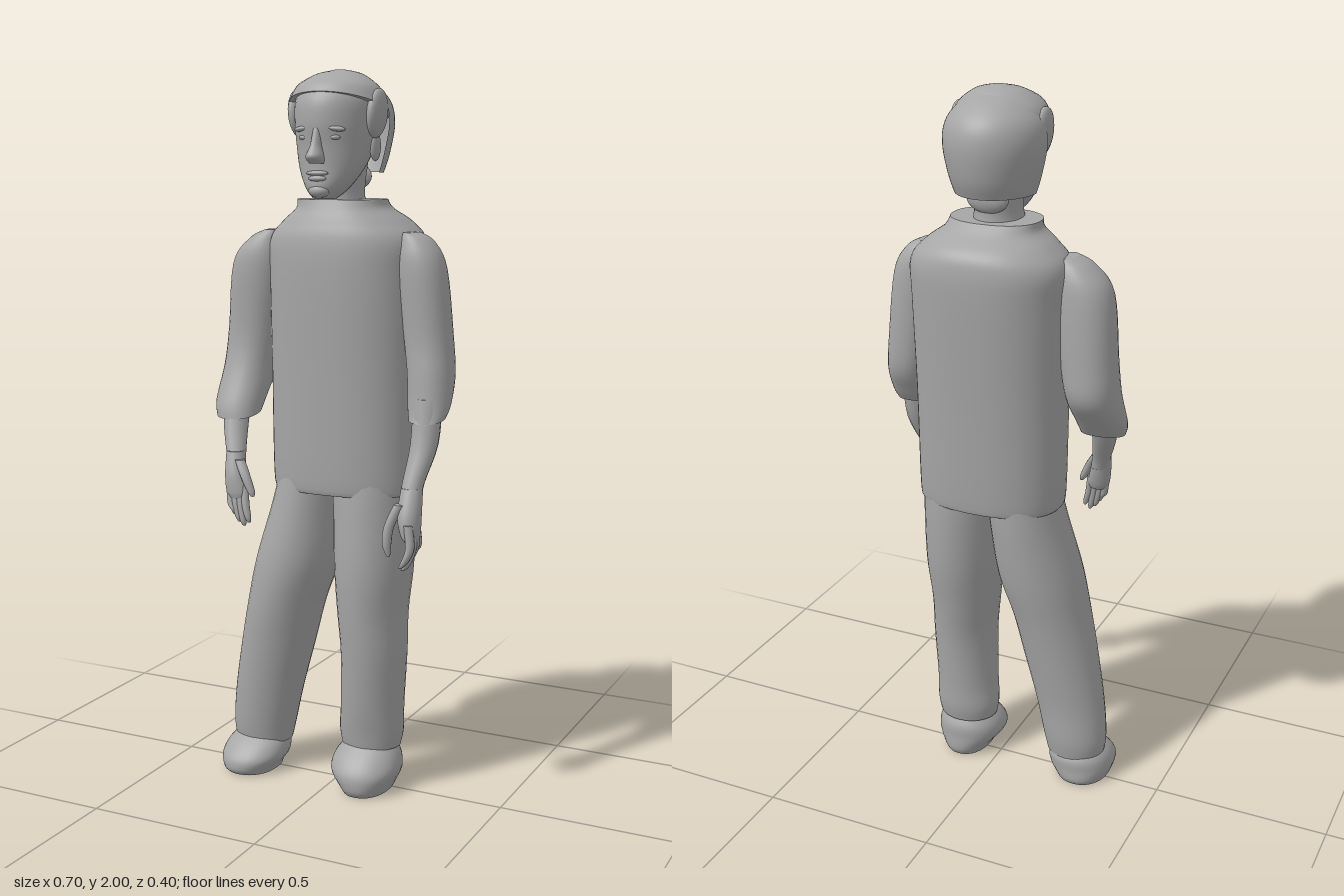
import * as THREE from 'three';

const clay = new THREE.MeshStandardMaterial({ color: 0xa6a6a6, side: THREE.DoubleSide });
clay.name = 'clay grey';

// Smooth loft through rows of [y, xMin, xMax, zBack, zFront, tilt], capped at both ends.
// power squares off the outline; half keeps only the back of each ring, uncapped.
function loft(rows, { power = 2, sides = 32, steps = 5, half = false } = {}) {
  rows = [...rows].sort((a, b) => a[0] - b[0]);
  const at = (i, k) => rows[Math.min(Math.max(i, 0), rows.length - 1)][k] ?? 0;
  const spline = (i, t, k) => {
    const [a, b, c, d] = [at(i - 1, k), at(i, k), at(i + 1, k), at(i + 2, k)];
    return b + 0.5 * t * (c - a + t * (2 * a - 5 * b + 4 * c - d + t * (3 * (b - c) + d - a)));
  };
  const pos = [], index = [], bend = v => Math.sign(v) * Math.abs(v) ** (2 / power);
  const n = half ? sides + 1 : sides, count = (rows.length - 1) * steps + 1;
  for (let r = 0; r < count; r++) {
    const i = Math.min(Math.floor(r / steps), rows.length - 2), t = r / steps - i;
    const [y, x0, x1, z0, z1, tilt] = [0, 1, 2, 3, 4, 5].map(k => spline(i, t, k));
    for (let j = 0; j < n; j++) {
      const a = half ? Math.PI * (1 + j / sides) : Math.PI * 2 * j / sides;
      const dz = bend(Math.sin(a)) * (z1 - z0) / 2;
      pos.push((x0 + x1) / 2 + bend(Math.cos(a)) * (x1 - x0) / 2, y + tilt * dz, (z0 + z1) / 2 + dz);
    }
  }
  for (let r = 0; r < count - 1; r++) for (let j = 0; j < (half ? sides : n); j++) {
    const a = r * n + j, b = r * n + (j + 1) % n;
    index.push(a, a + n, b, b, a + n, b + n);
  }
  if (!half) for (const r of [0, count - 1]) {
    const base = pos.length / 3, mid = [0, 0, 0];
    for (let j = 0; j < n; j++) for (let k = 0; k < 3; k++) {
      const v = pos[(r * n + j) * 3 + k];
      pos.push(v);
      mid[k] += v / n;
    }
    pos.push(...mid);
    for (let j = 0; j < n; j++) {
      const a = base + j, b = base + (j + 1) % n;
      index.push(base + n, ...(r ? [b, a] : [a, b]));
    }
  }
  const g = new THREE.BufferGeometry();
  g.setAttribute('position', new THREE.Float32BufferAttribute(pos, 3));
  g.setIndex(index);
  g.computeVertexNormals();
  return g;
}

// Round limb through [x, y, z, radius] points
const limb = pts => loft(pts.map(([x, y, z, r]) => [y, x - r, x + r, z - r, z + r]), { sides: 12, steps: 4 });

export function createModel() {
  const group = new THREE.Group();
  const add = (name, geometry) => {
    const m = new THREE.Mesh(geometry, clay);
    m.name = name;
    group.add(m);
    return m;
  };
  const ball = (name, x, y, z, rx, ry, rz, tilt = 0) => {
    const m = add(name, new THREE.SphereGeometry(1, 20, 14));
    m.position.set(x, y, z);
    m.scale.set(rx, ry, rz);
    m.rotation.z = tilt;
  };

  // Shirt body
  add('shirt', loft([
    [0.86, -0.185, 0.22, -0.16, 0.115], [0.9, -0.195, 0.225, -0.168, 0.125],
    [1.2, -0.2, 0.225, -0.185, 0.13], [1.45, -0.205, 0.23, -0.2, 0.135],
    [1.55, -0.205, 0.23, -0.2, 0.13], [1.6, -0.165, 0.19, -0.182, 0.115],
    [1.635, -0.12, 0.145, -0.13, 0.1], [1.66, -0.115, 0.135, -0.1, 0.09],
  ], { power: 2.3, sides: 48 }));

  // Sleeves
  add('leftSleeve', loft([
    [1.575, 0.2, 0.24, -0.03, 0.04], [1.55, 0.19, 0.28, -0.05, 0.055], [1.48, 0.185, 0.315, -0.065, 0.07],
    [1.3, 0.205, 0.335, -0.068, 0.07], [1.2, 0.22, 0.345, -0.06, 0.08],
    [1.12, 0.23, 0.345, -0.025, 0.09, -0.2], [1.085, 0.24, 0.338, 0, 0.1, -0.2],
  ], { power: 2.2 }));
  add('rightSleeve', loft([
    [1.575, -0.215, -0.175, -0.03, 0.04], [1.55, -0.265, -0.165, -0.055, 0.06], [1.48, -0.318, -0.16, -0.075, 0.075],
    [1.3, -0.338, -0.185, -0.088, 0.07], [1.2, -0.345, -0.2, -0.085, 0.085],
    [1.11, -0.348, -0.21, -0.03, 0.125, -0.2], [1.065, -0.335, -0.215, 0.01, 0.135, -0.2],
  ], { power: 2.2 }));

  // Forearms
  add('leftForearm', limb([[0.29, 1.14, 0.05, 0.04], [0.292, 1.02, 0.075, 0.038],
    [0.28, 0.92, 0.12, 0.03], [0.28, 0.87, 0.138, 0.03]]));
  add('rightForearm', limb([[-0.28, 1.12, 0.07, 0.04], [-0.265, 1.03, 0.11, 0.034],
    [-0.245, 0.96, 0.145, 0.027], [-0.235, 0.92, 0.16, 0.026]]));

  // Hands with four fingers and a thumb
  add('leftPalm', loft([[0.91, 0.25, 0.308, 0.095, 0.155], [0.84, 0.25, 0.313, 0.108, 0.185],
    [0.79, 0.262, 0.313, 0.118, 0.188], [0.77, 0.275, 0.308, 0.13, 0.18]]));
  add('rightPalm', loft([[0.97, -0.27, -0.22, 0.125, 0.175], [0.91, -0.265, -0.205, 0.14, 0.195],
    [0.865, -0.258, -0.195, 0.155, 0.198], [0.845, -0.245, -0.2, 0.165, 0.195]]));
  for (let i = 0; i < 4; i++) {
    const z = 0.13 + 0.017 * i, drop = [0.03, 0.01, 0, 0.01][i];
    add('leftFinger', limb([[0.292, 0.82, z, 0.012], [0.3, 0.76, z + 0.004, 0.012],
      [0.285, 0.71 + drop, z + 0.006, 0.01], [0.272, 0.693 + drop, z + 0.006, 0.005]]));
    const x = -0.248 + 0.015 * i;
    add('rightFinger', limb([[x, 0.88, 0.175, 0.011], [x + 0.008, 0.83, 0.185, 0.011],
      [x + 0.018, 0.785 + drop, 0.19, 0.009], [x + 0.022, 0.77 + drop, 0.19, 0.004]]));
  }
  add('leftThumb', limb([[0.26, 0.87, 0.165, 0.015], [0.235, 0.81, 0.175, 0.014],
    [0.23, 0.76, 0.178, 0.012], [0.235, 0.73, 0.178, 0.005]]));
  add('rightThumb', limb([[-0.22, 0.95, 0.17, 0.014], [-0.195, 0.91, 0.185, 0.014],
    [-0.175, 0.87, 0.19, 0.011], [-0.168, 0.855, 0.192, 0.005]]));

  // Trousers
  add('leftTrouserLeg', loft([
    [0.9, -0.01, 0.215, -0.15, 0.11], [0.8, -0.005, 0.217, -0.15, 0.12], [0.65, 0.003, 0.217, -0.14, 0.13],
    [0.52, 0.015, 0.207, -0.118, 0.125], [0.4, 0.025, 0.208, -0.1, 0.115],
    [0.25, 0.02, 0.2, -0.09, 0.095], [0.17, 0.012, 0.198, -0.088, 0.08], [0.125, 0.018, 0.19, -0.08, 0.072],
  ]));
  add('rightTrouserLeg', loft([
    [0.9, -0.175, 0.02, -0.15, 0.11], [0.8, -0.2, 0.01, -0.15, 0.12], [0.65, -0.243, -0.008, -0.14, 0.135],
    [0.52, -0.27, -0.05, -0.12, 0.13], [0.4, -0.295, -0.08, -0.105, 0.115],
    [0.25, -0.322, -0.12, -0.09, 0.095], [0.14, -0.335, -0.147, -0.088, 0.08], [0.085, -0.33, -0.16, -0.08, 0.07],
  ]));

  // Shoes
  add('leftShoe', loft([
    [0, 0.045, 0.172, -0.075, 0.12], [0.02, 0.035, 0.182, -0.085, 0.133], [0.06, 0.005, 0.2, -0.085, 0.132],
    [0.1, 0.01, 0.193, -0.083, 0.105], [0.14, 0.04, 0.17, -0.06, 0.06],
  ], { power: 2.2 }));
  add('rightShoe', loft([
    [0, -0.34, -0.19, -0.075, 0.12], [0.015, -0.345, -0.185, -0.085, 0.133], [0.045, -0.352, -0.165, -0.085, 0.13],
    [0.08, -0.34, -0.165, -0.083, 0.1], [0.11, -0.31, -0.18, -0.06, 0.06],
  ], { power: 2.2 }));

  // Neck and head
  add('neck', loft([[1.63, -0.065, 0.08, -0.08, 0.09], [1.68, -0.055, 0.072, -0.072, 0.08], [1.76, -0.06, 0.08, -0.08, 0.08]]));
  add('head', loft([
    [1.663, -0.02, 0.04, 0.07, 0.135], [1.69, -0.045, 0.065, 0.02, 0.152], [1.74, -0.075, 0.095, -0.03, 0.148],
    [1.8, -0.092, 0.112, -0.08, 0.15], [1.86, -0.1, 0.12, -0.11, 0.157], [1.92, -0.1, 0.12, -0.11, 0.15],
    [1.965, -0.08, 0.1, -0.085, 0.115], [1.985, -0.045, 0.065, -0.04, 0.07], [1.993, -0.01, 0.02, -0.01, 0.03],
  ], { sides: 40 }));

  // Face
  add('nose', loft([[1.845, 0, 0.02, 0.13, 0.158], [1.8, -0.005, 0.025, 0.13, 0.174],
    [1.772, -0.013, 0.033, 0.13, 0.19], [1.755, -0.01, 0.03, 0.13, 0.168]]));
  ball('upperLip', 0.01, 1.73, 0.146, 0.032, 0.007, 0.013);
  ball('lowerLip', 0.01, 1.716, 0.146, 0.026, 0.008, 0.012);
  ball('chin', 0.01, 1.684, 0.135, 0.03, 0.018, 0.022);
  for (const s of [-1, 1]) {
    ball('eye', 0.01 + s * 0.042, 1.822, 0.131, 0.018, 0.008, 0.014);
    ball('brow', 0.01 + s * 0.044, 1.845, 0.132, 0.03, 0.008, 0.018, -s * 0.12);
    ball('ear', 0.01 + s * 0.104, 1.8, 0.01, 0.012, 0.04, 0.025);
    ball('sideHair', 0.01 + s * 0.116, 1.885, 0.025, 0.022, 0.065, 0.05, s * -0.1);
  }

  // Hair: cap on top and an open shell behind
  add('hairCap', loft([
    [1.9, -0.125, 0.145, -0.12, 0.145, 0.3], [1.95, -0.105, 0.125, -0.1, 0.122, 0.15],
    [1.985, -0.06, 0.08, -0.055, 0.075, 0.04], [1.997, -0.02, 0.04, -0.02, 0.035], [2, -0.005, 0.02, -0.005, 0.02],
  ], { sides: 40 }));
  add('backHair', loft([
    [1.73, -0.1, 0.12, -0.128, 0.128], [1.78, -0.115, 0.135, -0.148, 0.148], [1.86, -0.13, 0.15, -0.158, 0.158],
    [1.92, -0.118, 0.138, -0.143, 0.143], [1.965, -0.075, 0.095, -0.095, 0.095],
    [1.985, -0.03, 0.05, -0.045, 0.045], [1.99, 0.009, 0.011, -0.001, 0.001],
  ], { half: true }));
  ball('napeHair', 0.01, 1.72, -0.062, 0.06, 0.04, 0.025);
  return group;
}
